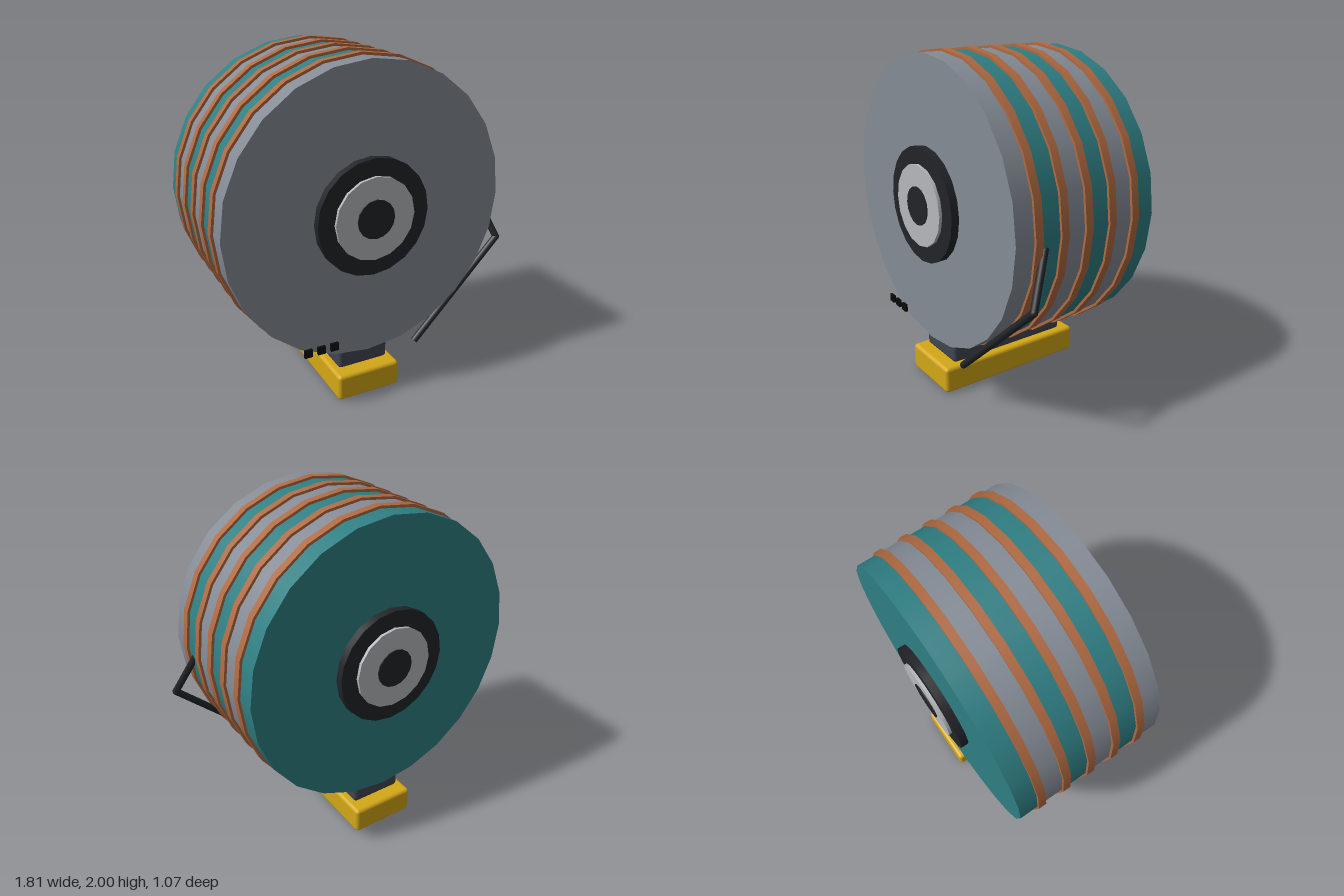
import * as THREE from 'three';
import { RoundedBoxGeometry } from 'three/addons/geometries/RoundedBoxGeometry.js';

const CX = -0.042, CY = 1.138; // drum axis

export function createModel() {
  const model = new THREE.Group();
  model.name = 'layeredDrum';
  const mat = (color) => new THREE.MeshStandardMaterial({ color });
  const grey = mat(0x858c96), teal = mat(0x2f7f84), copper = mat(0xb06a42);
  const black = mat(0x222428), silver = mat(0xb6b9bd), ink = mat(0x0a0a0a);
  const slate = mat(0x404550), yellow = mat(0xd4a817);

  function add(name, geometry, material, x, y, z, parent = model) {
    const mesh = new THREE.Mesh(geometry, material);
    mesh.name = name;
    mesh.position.set(x, y, z);
    parent.add(mesh);
    return mesh;
  }

  // Disc on the drum axis, spanning z0 to z1
  function disc(name, radius, z0, z1, sides, material, parent) {
    const g = new THREE.CylinderGeometry(radius, radius, Math.abs(z1 - z0), sides);
    g.rotateX(Math.PI / 2);
    return add(name, g, material, CX, CY, (z0 + z1) / 2, parent);
  }

  // Drum: six alternating layers with copper bands over the joints
  const drum = new THREE.Group();
  drum.name = 'drum';
  model.add(drum);
  const joints = [0.462, 0.325, 0.162, 0, -0.162, -0.325, -0.462];
  for (let i = 0; i < 6; i++) {
    disc('layer' + (i + 1), 0.847, joints[i], joints[i + 1], 24, i % 2 ? teal : grey, drum);
    if (i > 0) disc('band' + i, 0.862, joints[i] - 0.024, joints[i] + 0.024, 24, copper, drum);
  }

  // Stepped hubs on both ends
  for (const s of [1, -1]) {
    const hub = new THREE.Group();
    hub.name = s > 0 ? 'frontHub' : 'backHub';
    model.add(hub);
    disc('hubRing', 0.338, s * 0.45, s * 0.508, 20, black, hub);
    disc('hubPlate', 0.24, s * 0.5, s * 0.526, 16, silver, hub);
    disc('hubCap', 0.113, s * 0.52, s * 0.533, 16, black, hub);
  }

  // Pedestal
  add('base', new RoundedBoxGeometry(0.402, 0.163, 0.97, 2, 0.022), yellow, CX, 0.0815, 0);
  add('neck', new RoundedBoxGeometry(0.322, 0.122, 0.806, 2, 0.022), slate, CX, 0.222, 0);

  // Bent arm at the side
  const arm = new THREE.Group();
  arm.name = 'arm';
  model.add(arm);
  const path = [[0.285, 0.248, 0.446], [0.882, 0.81, 0.407], [0.785, 1.09, 0.268]]
    .map((p) => new THREE.Vector3(...p));
  for (let i = 0; i < 2; i++) {
    const dir = path[i + 1].clone().sub(path[i]);
    const mid = path[i].clone().add(path[i + 1]).multiplyScalar(0.5);
    const rod = add(i ? 'upperArm' : 'lowerArm',
      new THREE.CylinderGeometry(0.021, 0.021, dir.length(), 10), black, mid.x, mid.y, mid.z, arm);
    rod.quaternion.setFromUnitVectors(new THREE.Vector3(0, 1, 0), dir.normalize());
  }
  add('armElbow', new THREE.SphereGeometry(0.021, 10, 8), black, ...path[1].toArray(), arm);

  // Row of small markers at the lower front
  for (let i = 0; i < 3; i++) {
    add('marker' + (i + 1), new THREE.BoxGeometry(0.047, 0.047, 0.016), ink,
      -0.447 + i * 0.08, 0.407, 0.513);
  }
  return model;
}
